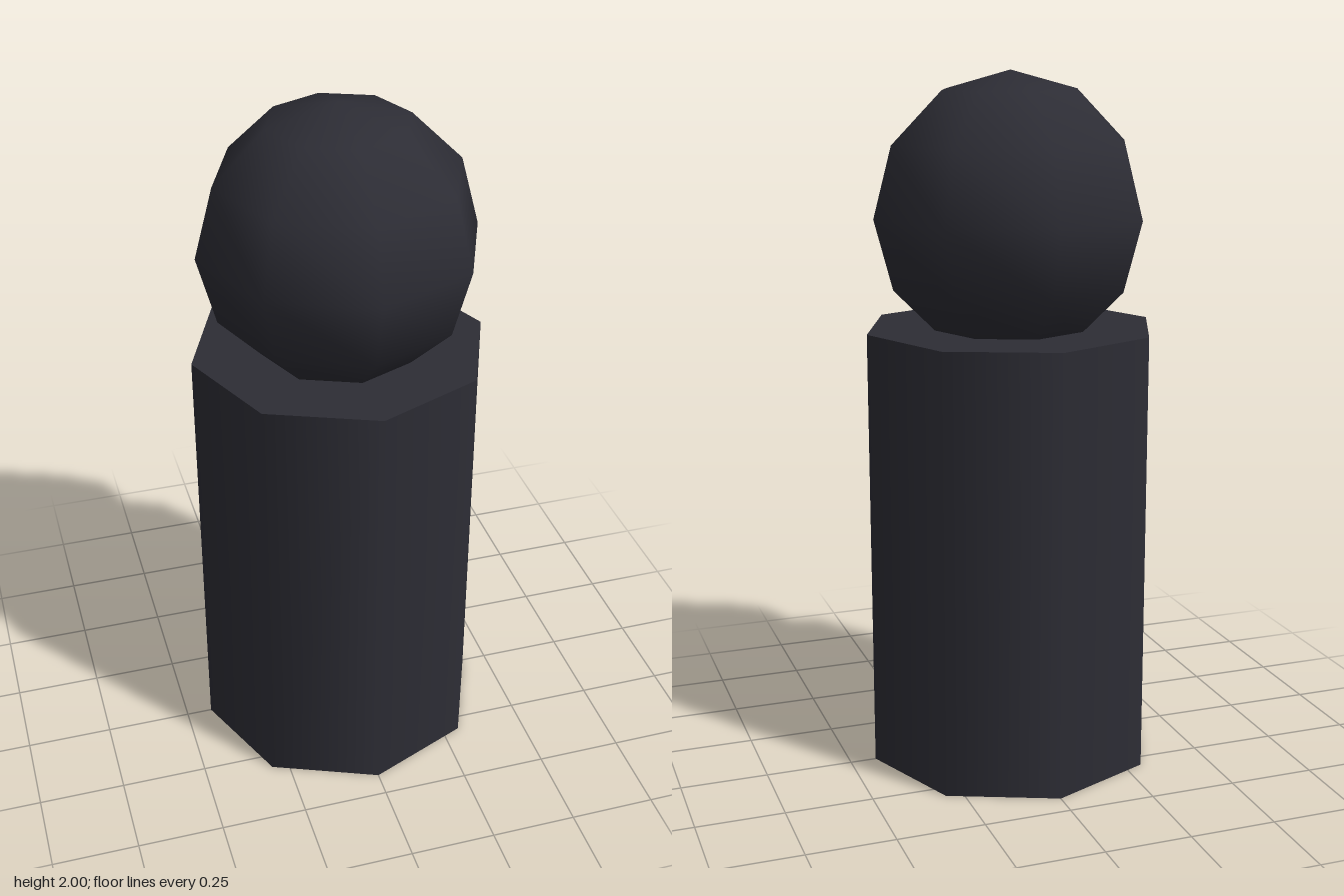
import * as THREE from 'three';

export function createModel() {
  const model = new THREE.Group();
  model.name = 'pegFigure';
  const charcoal = new THREE.MeshStandardMaterial({ color: 0x2d2d35 });
  charcoal.name = 'charcoal';

  const addPart = (name, geometry, y) => {
    const mesh = new THREE.Mesh(geometry, charcoal);
    mesh.name = name;
    mesh.position.y = y;
    model.add(mesh);
  };

  // Eight-sided upright body with smooth sides
  const bodyHeight = 1.28;
  addPart('body', new THREE.CylinderGeometry(0.425, 0.425, bodyHeight, 8), bodyHeight / 2);

  // Low-poly round head, sunk slightly into the body
  addPart('head', new THREE.SphereGeometry(0.4, 8, 6), 1.6);

  return model;
}
